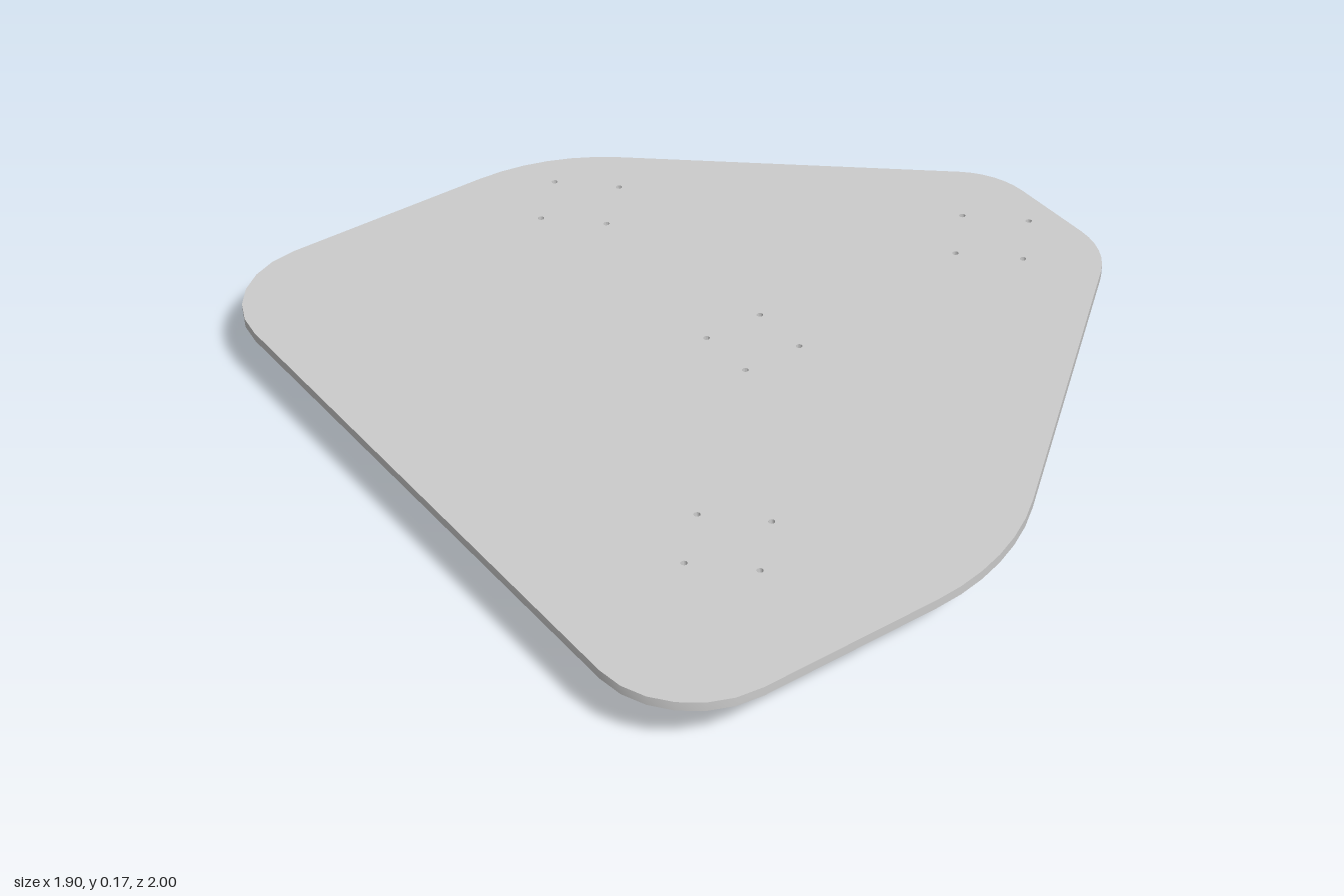
import * as THREE from 'three';
import { toCreasedNormals } from 'three/addons/utils/BufferGeometryUtils.js';

const material = new THREE.MeshStandardMaterial({ color: 0xcccccc });
const BOLT_R = 0.008;
const PLATE_Y = 0.138;

// Horizontal slab from a shape drawn in (x, -z), between two heights
function slab(name, shape, bottom, top, curveSegments) {
  const geo = new THREE.ExtrudeGeometry(shape, { depth: top - bottom, bevelEnabled: false, curveSegments });
  geo.rotateX(-Math.PI / 2);
  geo.translate(0, bottom, 0);
  const mesh = new THREE.Mesh(toCreasedNormals(geo, 0.6), material);
  mesh.name = name;
  return mesh;
}

function circle(r, x = 0, z = 0, Type = THREE.Path) {
  const path = new Type();
  path.absarc(x, -z, r, 0, Math.PI * 2, false);
  return path;
}

function ring(name, outer, inner, bottom, top, bolts = []) {
  const shape = circle(outer, 0, 0, THREE.Shape);
  shape.holes.push(circle(inner), ...bolts.map(([x, z]) => circle(BOLT_R, x, z)));
  return slab(name, shape, bottom, top, 20);
}

// Closed outline with an arc-like fillet at each corner [x, z, tangent length]
function roundedOutline(corners) {
  const shape = new THREE.Shape();
  const pts = corners.map(([x, z]) => new THREE.Vector2(x, -z));
  const n = pts.length;
  pts.forEach((p, i) => {
    const d = corners[i][2];
    const toPrev = pts[(i + n - 1) % n].clone().sub(p).normalize();
    const toNext = pts[(i + 1) % n].clone().sub(p).normalize();
    const turn = Math.PI - Math.acos(toPrev.dot(toNext));
    const k = (4 / 3) * Math.tan(turn / 4) / Math.tan(turn / 2);
    const at = (dir, t) => p.clone().addScaledVector(dir, t);
    const a = at(toPrev, d), b = at(toPrev, d * (1 - k));
    const c = at(toNext, d * (1 - k)), e = at(toNext, d);
    if (i === 0) shape.moveTo(a.x, a.y);
    else shape.lineTo(a.x, a.y);
    shape.bezierCurveTo(b.x, b.y, c.x, c.y, e.x, e.y);
  });
  shape.closePath();
  return shape;
}

export function createModel() {
  const model = new THREE.Group();
  model.name = 'footedPlate';

  const footBolts = [[0.12, 0], [-0.12, 0], [0, 0.12], [0, -0.12]];
  const hubBolts = [[0.08, 0.08], [-0.08, 0.08], [0.08, -0.08], [-0.08, -0.08]];
  const feet = [[-0.485, 0.572], [0, -0.752], [0.75, 0]];

  // Plate with bolt holes above every foot and the hub
  const outline = roundedOutline([
    [-0.95, 1, 0.25], [-0.014, 1, 0.22], [0.947, 0.215, 0.1],
    [0.947, -0.217, 0.1], [0.05, -1, 0.2], [-0.95, -1, 0.25],
  ]);
  for (const [x, z] of feet)
    for (const [bx, bz] of footBolts) outline.holes.push(circle(BOLT_R, x + bx, z + bz));
  for (const [x, z] of hubBolts) outline.holes.push(circle(BOLT_R, x, z));
  model.add(slab('plate', outline, PLATE_Y, 0.162, 6));

  // Three hollow flanged feet
  feet.forEach(([x, z], i) => {
    const foot = new THREE.Group();
    foot.name = `foot${i + 1}`;
    foot.add(ring('footFlange', 0.136, 0.052, 0.118, PLATE_Y, footBolts));
    foot.add(ring('footTube', 0.093, 0.052, 0, 0.118));
    foot.position.set(x, 0, z);
    model.add(foot);
  });

  // Stepped central hub
  const hub = new THREE.Group();
  hub.name = 'centreHub';
  hub.add(ring('hubFlange', 0.13, 0.06, 0.122, PLATE_Y, hubBolts));
  hub.add(ring('hubStep', 0.094, 0.06, 0.112, 0.122));
  hub.add(ring('hubCollar', 0.08, 0.06, 0.095, 0.112));
  model.add(hub);

  // Whole assembly leans very slightly
  model.rotation.set(-0.002, 0, 0.006);
  model.position.y = 0.0025;
  const root = new THREE.Group();
  root.add(model);
  return root;
}
